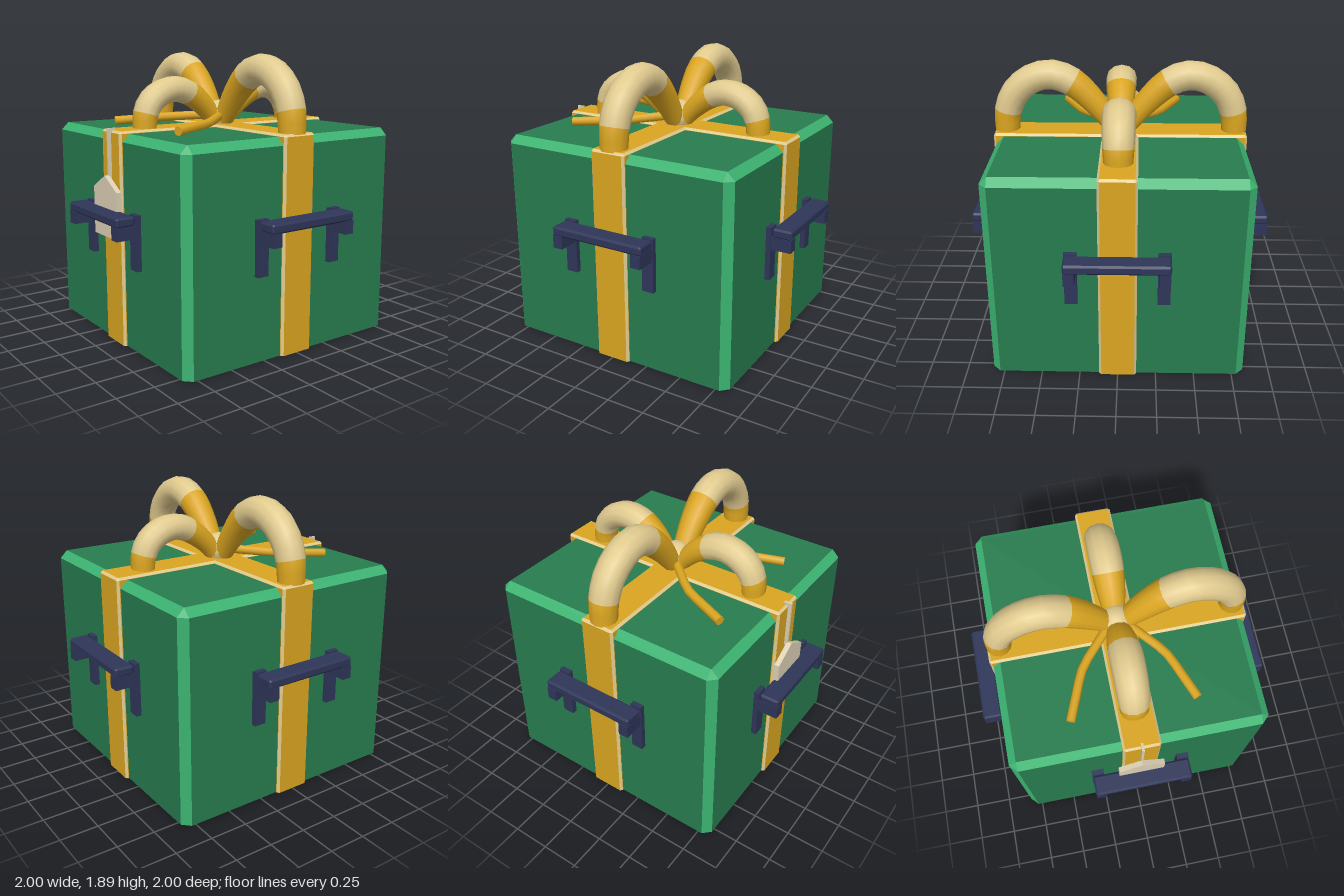
import * as THREE from 'three';
import { ConvexGeometry } from 'three/addons/geometries/ConvexGeometry.js';

const mat = (name, color, side = THREE.FrontSide) => {
  const m = new THREE.MeshStandardMaterial({ color, side });
  m.name = name;
  return m;
};

// Box with chamfered edges, y from y0 to y1; group 0 = flat faces, group 1 = chamfers
function chamferBox(w, y0, y1, d, c, squareBottom) {
  const pts = [];
  const add = (x, y, z) => pts.push(new THREE.Vector3(x, y, z));
  const X = w / 2, Z = d / 2;
  for (const sx of [-1, 1]) for (const sz of [-1, 1]) {
    for (const [y, dir] of [[y0, 1], [y1, -1]]) {
      const inset = dir > 0 && squareBottom ? 0 : c * dir;
      add(sx * X, y + inset, sz * (Z - c));
      add(sx * (X - c), y + inset, sz * Z);
      if (inset) add(sx * (X - c), y, sz * (Z - c));
    }
  }
  const hull = new ConvexGeometry(pts);
  const p = hull.attributes.position.array, n = hull.attributes.normal.array;
  const sets = [[], []];
  for (let i = 0; i < p.length / 3; i += 3) {
    const flat = Math.max(Math.abs(n[i * 3]), Math.abs(n[i * 3 + 1]), Math.abs(n[i * 3 + 2])) > 0.99;
    sets[flat ? 0 : 1].push(i, i + 1, i + 2);
  }
  hull.setIndex([...sets[0], ...sets[1]]);
  hull.addGroup(0, sets[0].length, 0);
  hull.addGroup(sets[0].length, sets[1].length, 1);
  return hull;
}

// Tapered oval tube along a profile in the xy plane, split into three colour bands
function loopGeometry(profile, ry, rz) {
  const SEG = 16, RAD = 12;
  const curve = new THREE.CatmullRomCurve3(profile.map(([x, y]) => new THREE.Vector3(x, y, 0)));
  const geo = new THREE.TubeGeometry(curve, SEG, 1, RAD, false);
  const pos = geo.attributes.position;
  for (let i = 0; i <= SEG; i++) {
    const t = i / SEG, c = curve.getPointAt(t);
    const taper = t < 0.5 ? 0.6 + 0.4 * Math.sin(Math.PI * t) : 1 - 0.16 * Math.pow((t - 0.5) * 2, 2);
    for (let j = 0; j <= RAD; j++) {
      const k = i * (RAD + 1) + j;
      pos.setXYZ(k,
        c.x + (pos.getX(k) - c.x) * ry * taper,
        c.y + (pos.getY(k) - c.y) * ry * taper,
        pos.getZ(k) * rz * taper);
    }
  }
  const per = RAD * 6;
  geo.addGroup(0, 6 * per, 0);
  geo.addGroup(6 * per, 8 * per, 1);
  geo.addGroup(14 * per, 2 * per, 0);
  return geo;
}

export function createModel() {
  const green = mat('box green', 0x277c4f);
  const lightGreen = mat('edge green', 0x3cb371);
  const gold = mat('ribbon gold', 0xdaa520);
  const cream = mat('bow cream', 0xe0ca8e);
  const navy = mat('handle navy', 0x2e3558);
  const paper = mat('tag paper', 0xdcd0b4);

  const model = new THREE.Group();
  model.name = 'giftBox';
  const add = (name, geo, material, parent = model) => {
    const mesh = new THREE.Mesh(geo, material);
    mesh.name = name;
    parent.add(mesh);
    return mesh;
  };
  const block = (name, x0, x1, y0, y1, z0, z1, material, parent) => {
    const mesh = add(name, new THREE.BoxGeometry(x1 - x0, y1 - y0, z1 - z0), material, parent);
    mesh.position.set((x0 + x1) / 2, (y0 + y1) / 2, (z0 + z1) / 2);
    return mesh;
  };

  // Box and the two crossing ribbons
  add('box', chamferBox(1.66, 0.002, 1.395, 1.66, 0.05, true), [green, lightGreen]);
  add('ribbonAcross', chamferBox(1.7, 0, 1.412, 0.245, 0.015, true), [gold, cream]);
  add('ribbonAlong', chamferBox(0.245, 0, 1.412, 1.7, 0.015, true), [gold, cream]);

  // Bow: two large loops to the sides, two smaller loops front and back
  const large = loopGeometry([[0.04, 1.42], [0.11, 1.52], [0.2, 1.63], [0.32, 1.74], [0.45, 1.79],
    [0.58, 1.765], [0.7, 1.67], [0.76, 1.54], [0.77, 1.4]], 0.1, 0.105);
  const small = loopGeometry([[0.04, 1.42], [0.1, 1.5], [0.2, 1.59], [0.29, 1.64], [0.38, 1.655],
    [0.48, 1.63], [0.56, 1.565], [0.595, 1.48], [0.6, 1.4]], 0.086, 0.108);
  for (let i = 0; i < 4; i++) {
    const loop = add(i % 2 ? 'smallBowLoop' : 'largeBowLoop', i % 2 ? small : large, [gold, cream]);
    loop.rotation.y = i * Math.PI / 2;
  }
  const knot = add('bowKnot', new THREE.SphereGeometry(0.11, 12, 8), cream);
  knot.position.y = 1.46;

  // Ribbon tails lying towards the front
  for (const s of [-1, 1]) {
    const path = new THREE.CatmullRomCurve3([[0.06, 1.465, 0.04], [0.17, 1.455, 0.16], [0.27, 1.445, 0.28],
      [0.34, 1.435, 0.44], [0.405, 1.425, 0.6]].map(([x, y, z]) => new THREE.Vector3(s * x, y, z)));
    add('ribbonTail', new THREE.TubeGeometry(path, 8, 0.03, 8), gold);
    const cap = add('ribbonTailEnd', new THREE.CircleGeometry(0.03, 8), gold);
    cap.position.copy(path.getPoint(1));
    cap.lookAt(cap.position.clone().add(path.getTangent(1)));
  }

  // Carrying handles, one on each side
  for (let i = 0; i < 4; i++) {
    const handle = new THREE.Group();
    handle.name = 'handle';
    handle.rotation.y = i * Math.PI / 2;
    model.add(handle);
    const bar = add('handleBar', chamferBox(0.66, 0.852, 0.914, 0.13, 0.012, false), [navy, navy], handle);
    bar.position.z = 0.933;
    for (const s of [-1, 1]) {
      const x = s * 0.292;
      block('handlePlate', x - 0.04, x + 0.04, 0.56, 0.917, 0.825, 0.864, navy, handle);
      block('handleArm', x - 0.034, x + 0.034, 0.77, 0.856, 0.85, 0.997, navy, handle);
    }
  }

  // Gift tag hanging on a string
  const outline = new THREE.Shape([[-0.153, 0.725], [0.153, 0.725], [0.153, 1.035], [0, 1.125], [-0.153, 1.035]]
    .map(([x, y]) => new THREE.Vector2(x, y)));
  const tag = add('tag', new THREE.ExtrudeGeometry(outline, { depth: 0.034, bevelEnabled: false }), paper);
  tag.position.z = 0.866;
  block('tagString', -0.008, 0.008, 1.1, 1.425, 0.82, 0.873, paper);

  return model;
}
